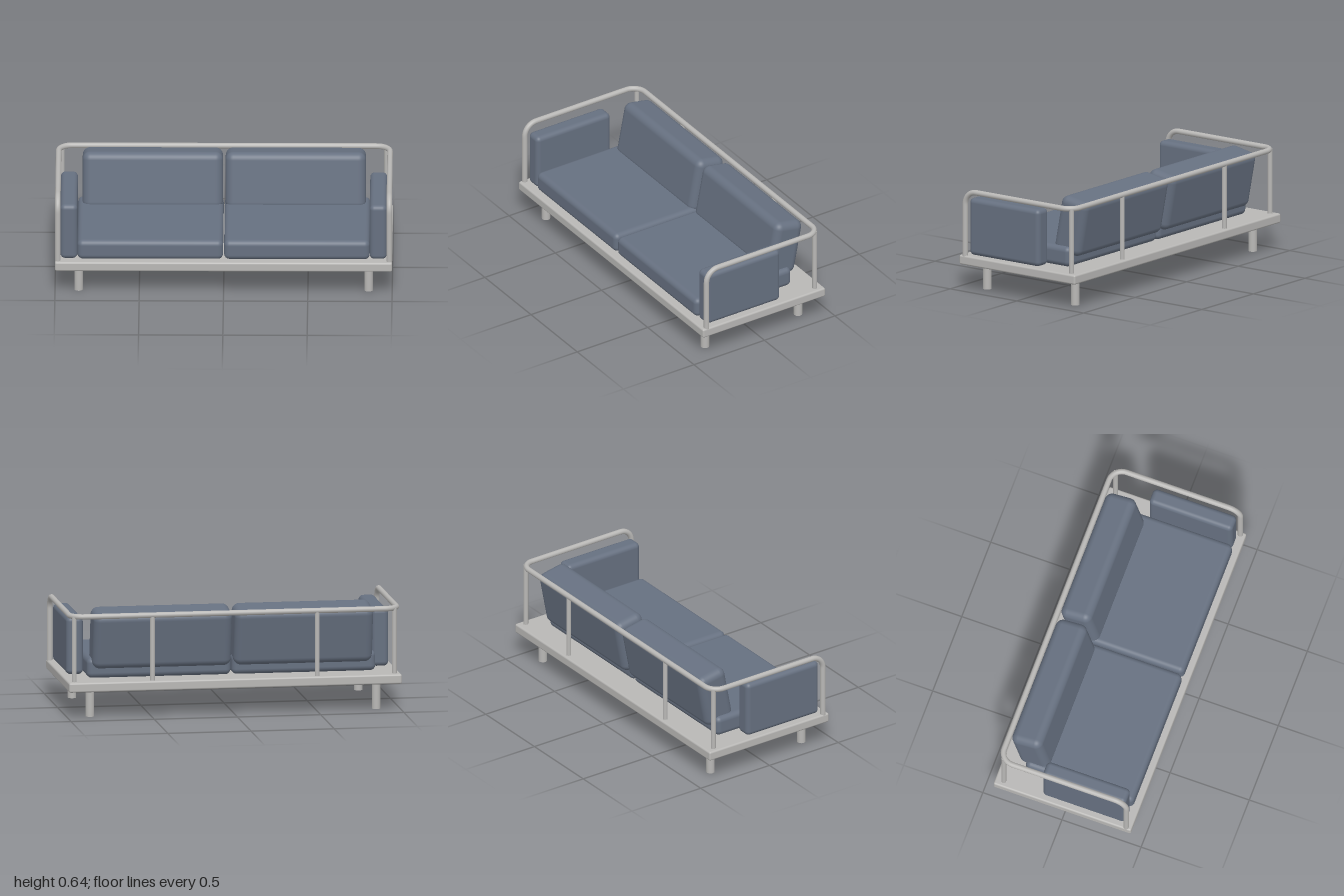
import * as THREE from 'three';
import { RoundedBoxGeometry } from 'three/addons/geometries/RoundedBoxGeometry.js';

const metal = new THREE.MeshStandardMaterial({ color: 0xb8b7b5 });
metal.name = 'greyMetal';
const fabric = new THREE.MeshStandardMaterial({ color: 0x667080 });
fabric.name = 'slateFabric';

// Path through corner points, each inner corner rounded to a quarter circle
function roundedPath(points, radius) {
  const path = new THREE.CurvePath();
  let start = points[0];
  for (let i = 1; i < points.length - 1; i++) {
    const p = points[i];
    const dirIn = points[i - 1].clone().sub(p).normalize();
    const dirOut = points[i + 1].clone().sub(p).normalize();
    const at = (dir, d) => p.clone().addScaledVector(dir, d);
    const a = at(dirIn, radius), b = at(dirOut, radius);
    const k = radius * 0.448;
    path.add(new THREE.LineCurve3(start, a));
    path.add(new THREE.CubicBezierCurve3(a, at(dirIn, k), at(dirOut, k), b));
    start = b;
  }
  path.add(new THREE.LineCurve3(start, points[points.length - 1]));
  return path;
}

export function createModel() {
  const group = new THREE.Group();
  group.name = 'sofa';

  const add = (name, geometry, material, x, y, z) => {
    const mesh = new THREE.Mesh(geometry, material);
    mesh.name = name;
    mesh.position.set(x, y, z);
    group.add(mesh);
    return mesh;
  };
  // Soft box given by its extents
  const block = (name, material, [x0, x1], [y0, y1], [z0, z1], radius) =>
    add(name, new RoundedBoxGeometry(x1 - x0, y1 - y0, z1 - z0, 5, radius), material,
      (x0 + x1) / 2, (y0 + y1) / 2, (z0 + z1) / 2);
  // Upright round bar
  const bar = (name, x, z, y0, y1, radius) =>
    add(name, new THREE.CylinderGeometry(radius, radius, y1 - y0, 24), metal, x, (y0 + y1) / 2, z);

  // Base
  block('platform', metal, [-1, 1], [0.16, 0.218], [-0.434, 0.434], 0.011);

  // Continuous rail: up at the front, around the back, down at the front
  const v = (x, y, z) => new THREE.Vector3(x, y, z);
  const rail = roundedPath([
    v(-0.983, 0.21, 0.4), v(-0.983, 0.61, 0.4), v(-0.983, 0.61, -0.4),
    v(0.983, 0.61, -0.4), v(0.983, 0.61, 0.4), v(0.983, 0.21, 0.4),
  ], 0.08);
  add('rail', new THREE.TubeGeometry(rail, 300, 0.0165, 16), metal, 0, 0, 0);

  for (const s of [-1, 1]) {
    const side = s > 0 ? 'left' : 'right';
    const span = (a, b) => (s > 0 ? [a, b] : [-b, -a]);

    // Legs and rail posts
    bar(`${side}FrontLeg`, s * 0.86, 0.33, 0, 0.17, 0.0255);
    bar(`${side}BackLeg`, s * 0.86, -0.33, 0, 0.17, 0.0255);
    bar(`${side}CornerPost`, s * 0.962, -0.381, 0.21, 0.61, 0.0145);
    bar(`${side}MiddlePost`, s * 0.495, -0.4, 0.21, 0.61, 0.0145);

    // Cushions
    block(`${side}SeatCushion`, fabric, span(0.003, 0.867), [0.218, 0.34], [-0.285, 0.398], 0.032);
    block(`${side}ArmCushion`, fabric, span(0.867, 0.968), [0.218, 0.565], [-0.138, 0.387], 0.028);
    const back = block(`${side}BackCushion`, fabric, span(0.008, 0.84),
      [0.2875, 0.6325], [-0.3625, -0.1675], 0.045);
    back.rotation.x = -0.19;
  }
  return group;
}
